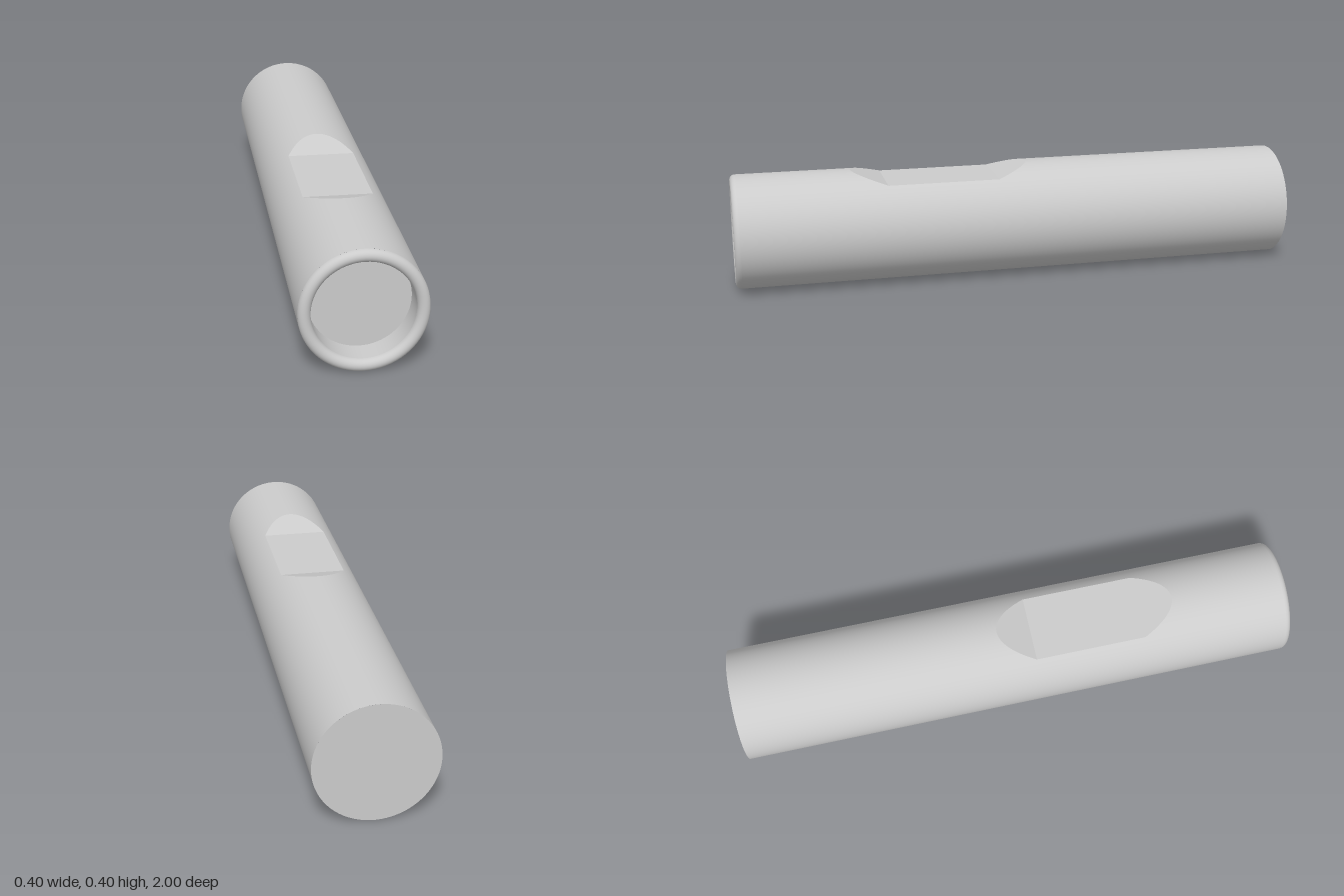
import * as THREE from 'three';

const R = 0.2, BORE = 0.16, CY = 0.2;
const FLAT = 0.1625;                       // height of the flat above the axis
const RIM_Z = 0.98, FLOOR_Z = 0.9;
const CUT = { back: -0.05, flatBack: 0.07, flatFront: 0.465, front: 0.585 };

const grey = () => new THREE.MeshStandardMaterial({ color: 0xcccccc });
const range = (a, b, n) => Array.from({ length: n + 1 }, (_, i) => a + (b - a) * i / n);
const onTube = (t, z) => new THREE.Vector3(R * Math.sin(t), R * Math.cos(t), z);

// Surface between two rows of points; round = normals point away from the axis
function strip(A, B, round) {
  const pos = [], nor = [], index = [];
  A.forEach((a, i) => {
    for (const p of [a, B[i]]) {
      pos.push(p.x, p.y, p.z);
      nor.push(p.x / R, p.y / R, 0);
    }
    if (i) {
      const k = 2 * i;
      index.push(k - 2, k, k + 1, k - 2, k + 1, k - 1);
    }
  });
  const g = new THREE.BufferGeometry();
  g.setAttribute('position', new THREE.Float32BufferAttribute(pos, 3));
  g.setAttribute('normal', new THREE.Float32BufferAttribute(nor, 3));
  g.setIndex(index);
  if (round) return g;
  const flat = g.toNonIndexed();
  flat.computeVertexNormals();
  return flat;
}

export function createModel() {
  const group = new THREE.Group();
  const add = (name, geometry) => {
    const mesh = new THREE.Mesh(geometry, grey());
    mesh.name = name;
    mesh.position.y = CY;
    group.add(mesh);
    return mesh;
  };

  // Where the sloped ends of the cut meet the tube at angle t from the top
  const edge = Math.acos(FLAT / R);
  const rise = t => (R * Math.cos(t) - FLAT) / (R - FLAT);
  const cutBack = t => THREE.MathUtils.lerp(CUT.flatBack, CUT.back, rise(t));
  const cutFront = t => THREE.MathUtils.lerp(CUT.flatFront, CUT.front, rise(t));

  // Tube skin: plain wall, plus the two pieces behind and ahead of the cut
  const wall = range(edge, 2 * Math.PI - edge, 60);
  const crown = range(-edge, edge, 24);
  const skin = (name, angles, zFront, zBack) => add(name, strip(
    angles.map(t => onTube(t, zFront(t))), angles.map(t => onTube(t, zBack(t))), true));
  skin('tubeWall', wall, () => RIM_Z, () => -1);
  skin('tubeTopBack', crown, cutBack, () => -1);
  skin('tubeTopFront', crown, () => RIM_Z, cutFront);

  // Cut: rear slope, flat and front slope across the top
  const half = range(0, edge, 12);
  const side = s => [
    ...half.map(t => onTube(s * t, cutBack(t))),
    ...half.slice().reverse().map(t => onTube(s * t, cutFront(t))),
  ];
  add('topCut', strip(side(-1), side(1), false));

  // Rounded rim
  const mid = (R + BORE) / 2, r = (R - BORE) / 2;
  const rim = range(0, Math.PI, 12).map(a =>
    new THREE.Vector2(mid + r * Math.cos(a), RIM_Z + r * Math.sin(a)));
  add('rim', new THREE.LatheGeometry(rim, 72)).rotation.x = Math.PI / 2;

  // Bore wall and floor of the front recess
  const bore = [new THREE.Vector2(BORE, RIM_Z), new THREE.Vector2(BORE, FLOOR_Z)];
  add('recessWall', new THREE.LatheGeometry(bore, 72)).rotation.x = Math.PI / 2;
  add('recessFloor', new THREE.CircleGeometry(BORE, 72)).position.z = FLOOR_Z;

  // Closed back end
  const cap = add('backCap', new THREE.CircleGeometry(R, 72));
  cap.rotation.y = Math.PI;
  cap.position.z = -1;

  return group;
}
